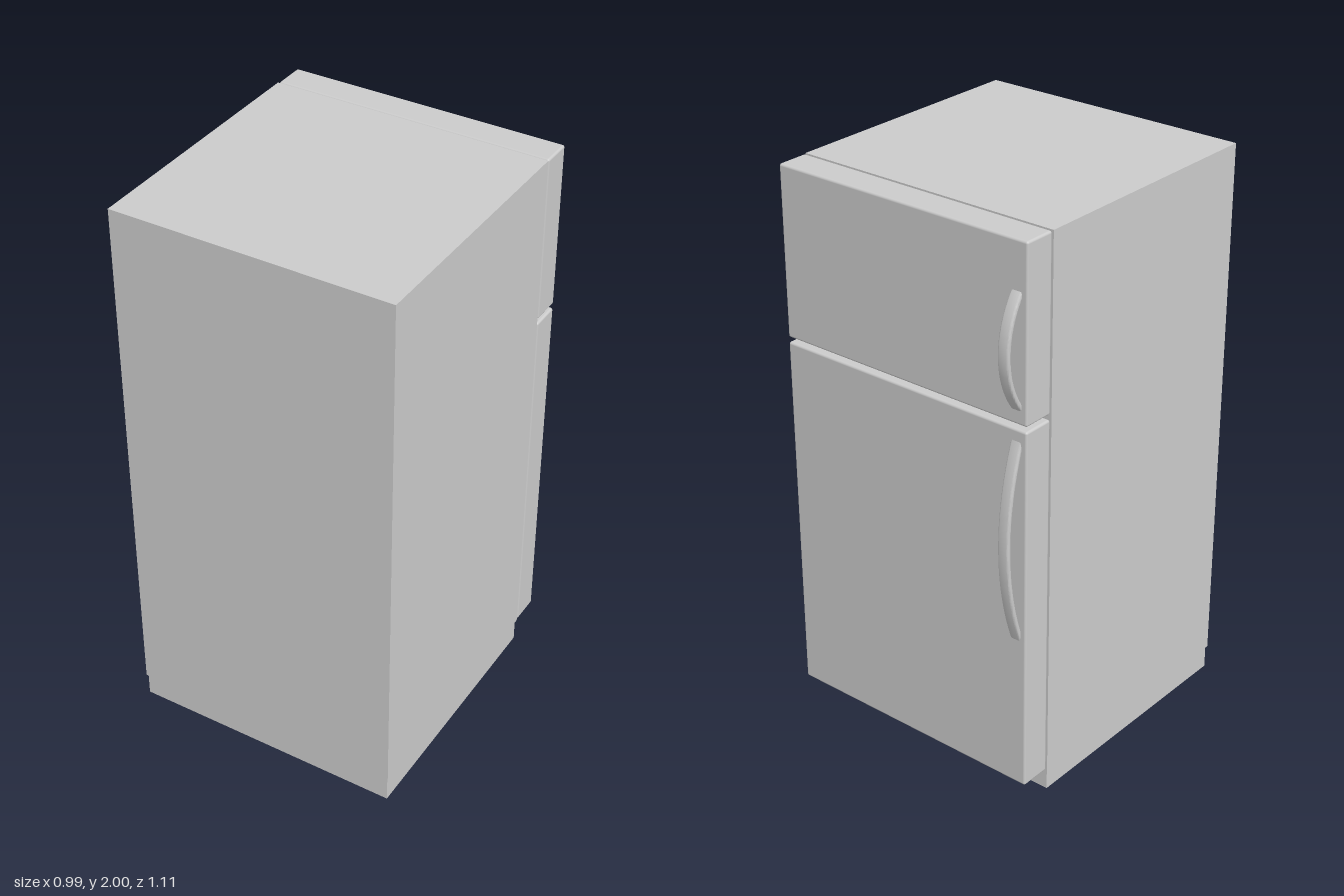
import * as THREE from 'three';
import { RoundedBoxGeometry } from 'three/addons/geometries/RoundedBoxGeometry.js';
import { toCreasedNormals } from 'three/addons/utils/BufferGeometryUtils.js';

const X0 = -0.497, X1 = 0.492;      // overall width
const BACK = 0.556, SEAM = -0.376;  // cabinet depth
const DOOR_IN = -0.381, DOOR_OUT = -0.494;
const FLOOR = 0.085;                // top of the plinth

const solid = new THREE.MeshStandardMaterial({ color: 0xcccccc });
const shell = new THREE.MeshStandardMaterial({ color: 0xcccccc, side: THREE.DoubleSide });

function add(group, name, geometry, material = solid) {
  const mesh = new THREE.Mesh(geometry, material);
  mesh.name = name;
  group.add(mesh);
  return mesh;
}

// Thin-walled box between two corners, keeping only the listed sides
// (0 +x, 1 -x, 2 +y, 3 -y, 4 +z, 5 -z)
function openBox(x0, x1, y0, y1, z0, z1, sides) {
  const g = new THREE.BoxGeometry(x1 - x0, y1 - y0, z1 - z0);
  const index = Array.from(g.index.array);
  g.setIndex(sides.flatMap((s) => index.slice(s * 6, s * 6 + 6)));
  g.clearGroups();
  return g.translate((x0 + x1) / 2, (y0 + y1) / 2, (z0 + z1) / 2);
}

// Slab with softened edges
function doorGeometry(y0, y1) {
  const g = new RoundedBoxGeometry(X1 - X0, y1 - y0, DOOR_IN - DOOR_OUT, 3, 0.008);
  return g.translate((X0 + X1) / 2, (y0 + y1) / 2, (DOOR_IN + DOOR_OUT) / 2);
}

// Bowed strap: an arc-shaped band swept across its width with rounded edges
function handleGeometry(y0, y1) {
  const half = (y1 - y0) / 2, rise = 0.063, thick = 0.016, sink = 0.006;
  const radius = (half * half + rise * rise) / (2 * rise);
  const centre = rise - radius;
  const outer = Math.acos((-sink - centre) / radius);
  const inner = Math.acos((-sink - centre) / (radius - thick));
  const shape = new THREE.Shape();
  shape.absarc(centre, 0, radius, -outer, outer, false);
  shape.absarc(centre, 0, radius - thick, inner, -inner, true);
  const bevel = 0.006, width = 0.041;
  const g = new THREE.ExtrudeGeometry(shape, {
    depth: width - 2 * bevel, curveSegments: 20,
    bevelEnabled: true, bevelSize: bevel, bevelThickness: bevel,
    bevelOffset: -bevel, bevelSegments: 3,
  });
  g.translate(0, 0, -(width - 2 * bevel) / 2);
  g.rotateY(Math.PI / 2);
  g.translate(-0.456, (y0 + y1) / 2, DOOR_OUT);
  return toCreasedNormals(g, 0.7);
}

export function createModel() {
  const model = new THREE.Group();
  model.name = 'refrigerator';

  // Hollow cabinet, open underneath, on a slightly inset plinth ring
  add(model, 'cabinet', openBox(X0, X1, FLOOR, 2, SEAM, BACK, [0, 1, 2, 4, 5]), shell);
  const inset = 0.005;
  add(model, 'plinth', openBox(X0 + inset, X1 - inset, 0, FLOOR,
    SEAM + inset, BACK - inset, [0, 1, 4, 5]), shell);

  // Doors with their handles
  const doors = [
    { name: 'freezer', y: [1.407, 2], grip: [1.455, 1.84] },
    { name: 'fridge', y: [0.085, 1.39], grip: [0.642, 1.35] },
  ];
  for (const { name, y, grip } of doors) {
    const door = new THREE.Group();
    door.name = name + 'DoorAssembly';
    add(door, name + 'Door', doorGeometry(...y));
    add(door, name + 'Handle', handleGeometry(...grip));
    model.add(door);
  }
  return model;
}
